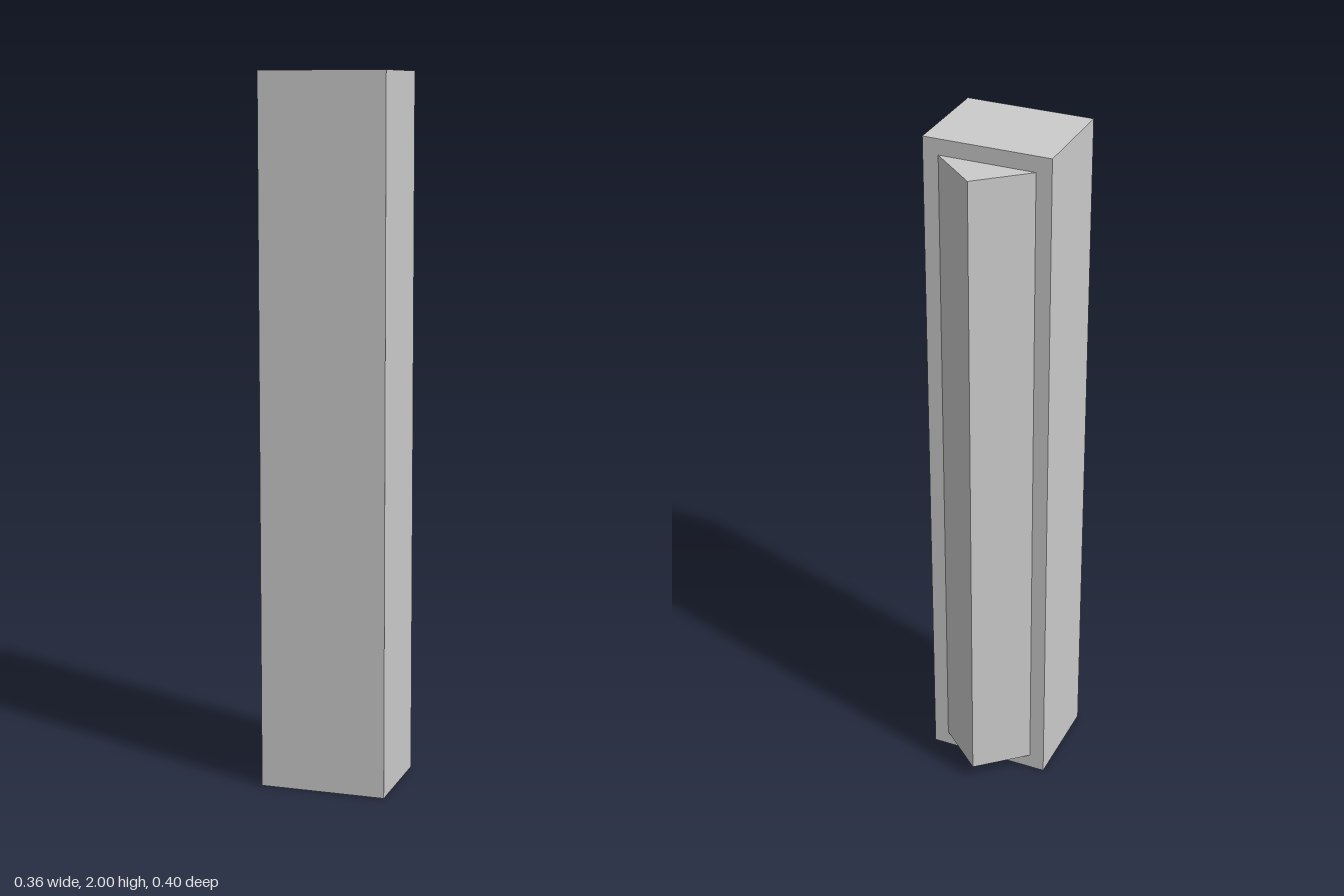
import * as THREE from 'three';

export function createModel() {
  const group = new THREE.Group();
  const material = new THREE.MeshStandardMaterial({ color: 0xcccccc, flatShading: true });
  const backZ = -0.082;
  const frontZ = 0.2;

  // Tall rectangular post
  const post = new THREE.Mesh(new THREE.BoxGeometry(0.36, 2, frontZ - backZ), material);
  post.name = 'post';
  post.position.set(0, 1, (frontZ + backZ) / 2);
  group.add(post);

  // Triangular ridge running up the back, a little short of both ends
  const profile = new THREE.Shape([
    new THREE.Vector2(-0.136, -backZ),
    new THREE.Vector2(0.136, -backZ),
    new THREE.Vector2(0, 0.2),
  ]);
  const ridgeGeometry = new THREE.ExtrudeGeometry(profile, { depth: 1.91, bevelEnabled: false });
  ridgeGeometry.rotateX(-Math.PI / 2);
  const ridge = new THREE.Mesh(ridgeGeometry, material);
  ridge.name = 'backRidge';
  ridge.position.y = 0.045;
  group.add(ridge);

  return group;
}
